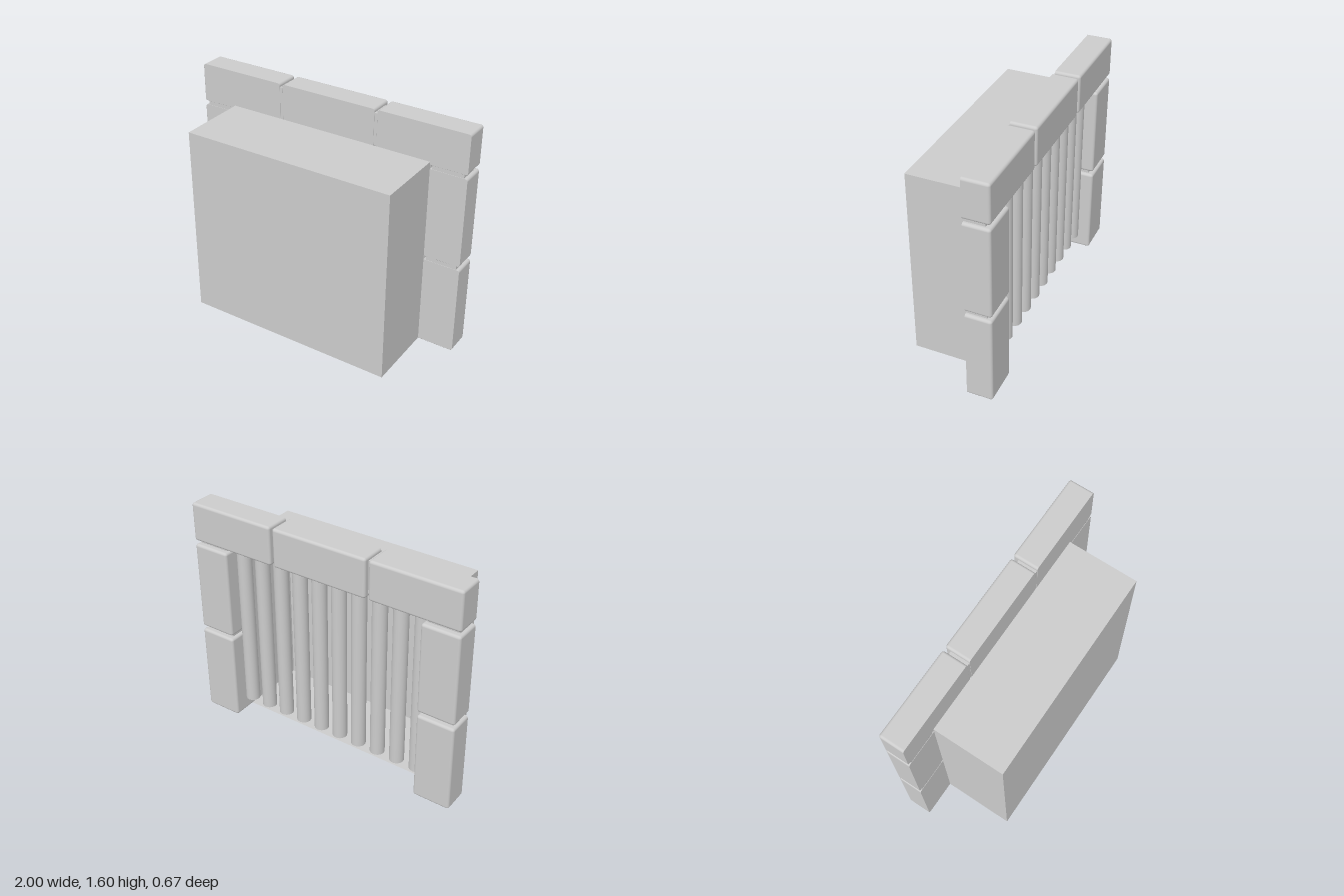
import * as THREE from 'three';
import { RoundedBoxGeometry } from 'three/addons/geometries/RoundedBoxGeometry.js';

const FRONT = -0.16, BACK = -0.335;

export function createModel() {
  const model = new THREE.Group();
  const solid = new THREE.MeshStandardMaterial({ color: 0xcccccc });
  const thin = new THREE.MeshStandardMaterial({ color: 0xcccccc, side: THREE.DoubleSide });

  const add = (name, geometry, material, x = 0, y = 0, z = 0) => {
    const mesh = new THREE.Mesh(geometry, material);
    mesh.name = name;
    mesh.position.set(x, y, z);
    model.add(mesh);
  };

  // Stone with softened edges and a flat front face
  const stone = (name, x0, x1, y0, y1) => {
    const depth = FRONT - BACK;
    const g = new RoundedBoxGeometry(x1 - x0, y1 - y0, depth, 3, 0.018);
    const p = g.attributes.position, n = g.attributes.normal;
    for (let i = 0; i < p.count; i++) {
      if (p.getZ(i) > 0) {
        p.setZ(i, depth / 2);
        if (n.getZ(i) > 0.01) n.setXYZ(i, 0, 0, 1);
      }
    }
    add(name, g, solid, (x0 + x1) / 2, (y0 + y1) / 2, (FRONT + BACK) / 2);
  };

  // Mortar core recessed behind the stones
  const mortar = (name, x0, x1, y0, y1) => {
    const z0 = -0.295, z1 = FRONT - 0.002;
    add(name, new THREE.BoxGeometry(x1 - x0, y1 - y0, z1 - z0), solid,
      (x0 + x1) / 2, (y0 + y1) / 2, (z0 + z1) / 2);
  };

  // Recess: a box open towards the grate
  const w = 1.49, h = 1.35, d = 0.495;
  const recess = new THREE.BoxGeometry(w, h, d);
  const openSide = recess.groups[5];
  const kept = Array.from(recess.index.array).filter(
    (_, i) => i < openSide.start || i >= openSide.start + openSide.count);
  recess.setIndex(kept);
  recess.clearGroups();
  add('recessBox', recess, thin, 0, h / 2, FRONT + d / 2);

  // Lintel stones
  stone('lintelStoneRight', -1, -0.37, 1.33, 1.6);
  stone('lintelStoneMiddle', -0.347, 0.343, 1.33, 1.6);
  stone('lintelStoneLeft', 0.365, 1, 1.33, 1.6);
  mortar('lintelMortar', -0.97, 0.97, 1.355, 1.575);

  // Side stones
  for (const [side, x0, x1] of [['Left', 0.735, 1], ['Right', -1, -0.735]]) {
    stone('lowerStone' + side, x0, x1, 0, 0.64);
    stone('upperStone' + side, x0, x1, 0.668, 1.302);
    mortar('sideMortar' + side, x0 + 0.025, x1 - 0.025, 0.03, 1.36);
  }

  // Hollow grate bars hanging from the lintel
  const bottom = 0.115, top = 1.4;
  const bar = new THREE.CylinderGeometry(0.05, 0.05, top - bottom, 20, 1, true);
  for (let i = 0; i < 10; i++) {
    add('grateBar', bar, thin, (i - 4.5) * 0.152, (top + bottom) / 2, -0.212);
  }

  return model;
}
